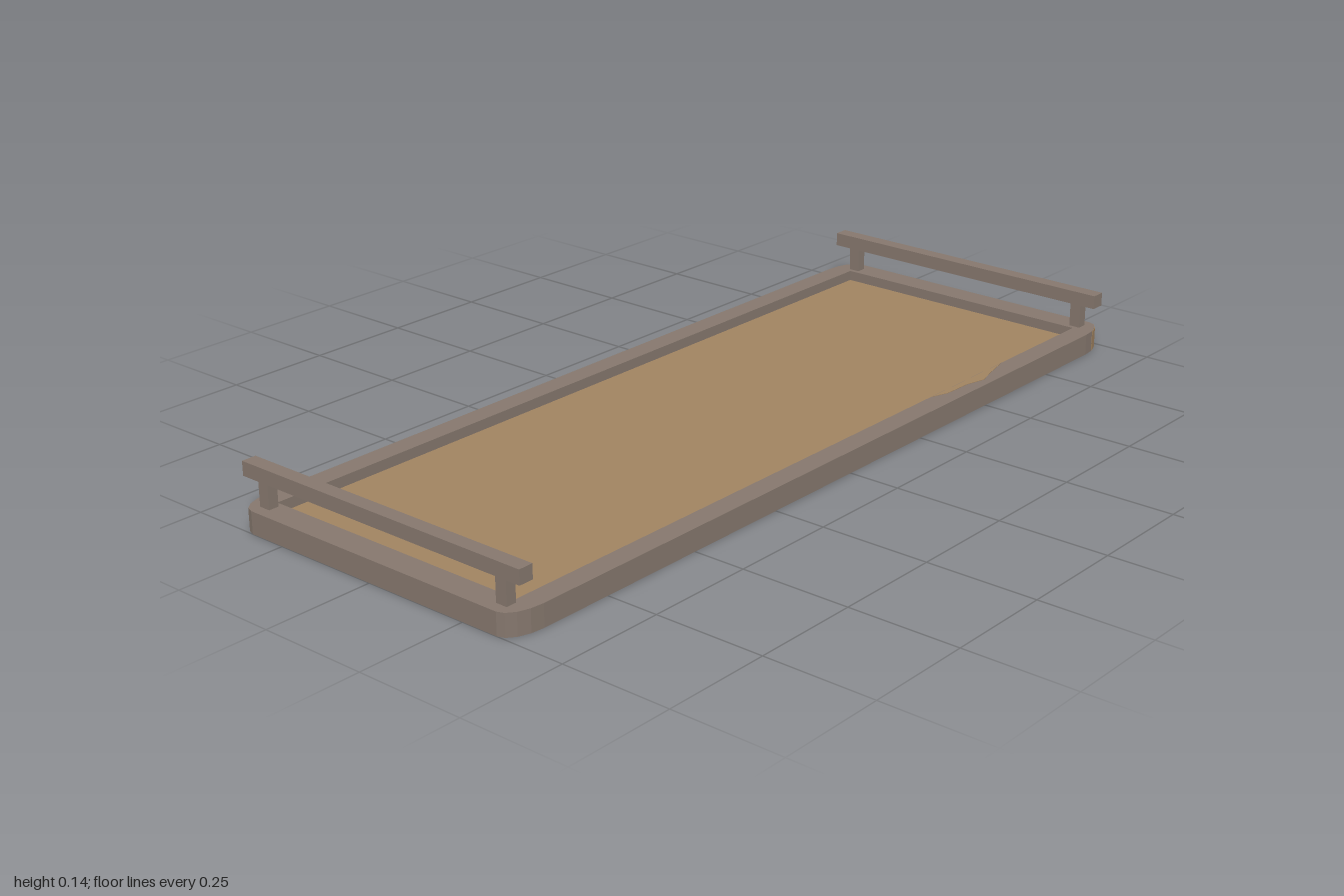
import * as THREE from 'three';

const frameMat = new THREE.MeshStandardMaterial({ color: 0x85776d });
frameMat.name = 'weathered grey';
const woodMat = new THREE.MeshStandardMaterial({ color: 0xa08360 });
woodMat.name = 'tan wood';

const HX = 1, HZ = 0.38, RX = 0.08, RZ = 0.042, H = 0.05;

// Points round one corner, from the end wall to the long wall
function cornerPoints(sx, sz, grow = 0) {
  const pts = [];
  for (let i = 0; i <= 4; i++) {
    const a = (i / 4) * Math.PI / 2;
    pts.push(new THREE.Vector2(
      sx * (HX - RX + (RX + grow) * Math.cos(a)),
      sz * (HZ - RZ + (RZ + grow) * Math.sin(a))));
  }
  return pts;
}

// Extrudes a plan outline (x, -z) upwards from y
function slab(name, shape, y, height, mat) {
  const g = new THREE.ExtrudeGeometry(shape, { depth: height, bevelEnabled: false });
  g.rotateX(-Math.PI / 2);
  const m = new THREE.Mesh(g, mat);
  m.position.y = y;
  m.name = name;
  return m;
}

function box(name, w, h, d, x, y, z, mat) {
  const m = new THREE.Mesh(new THREE.BoxGeometry(w, h, d), mat);
  m.position.set(x, y, z);
  m.name = name;
  return m;
}

export function createModel() {
  const tray = new THREE.Group();
  tray.name = 'servingTray';

  // Rim with rounded corners and a rectangular opening
  const rim = new THREE.Shape([
    ...cornerPoints(1, 1), ...cornerPoints(-1, 1).reverse(),
    ...cornerPoints(-1, -1), ...cornerPoints(1, -1).reverse(),
  ]);
  const ix = 0.94, iz = 0.33;
  rim.holes.push(new THREE.Path([
    new THREE.Vector2(-ix, -iz), new THREE.Vector2(-ix, iz),
    new THREE.Vector2(ix, iz), new THREE.Vector2(ix, -iz),
  ]));
  tray.add(slab('rim', rim, 0, H, frameMat));

  // Base panel set between the rim walls
  tray.add(box('basePanel', ix * 2, 0.008, iz * 2, 0, 0.022, 0, woodMat));

  // Worn patch round the front left corner
  const wear = (grow) => [new THREE.Vector2(HX + grow, -0.23), ...cornerPoints(1, -1, grow).slice(0, 4)];
  const wornCorner = new THREE.Shape([...wear(0.001), ...wear(-0.003).reverse()]);
  tray.add(slab('wornCorner', wornCorner, 0.001, H - 0.002, woodMat));

  // Small worn patch on top of the front rim
  const wornTop = new THREE.Shape([[0.36, -0.332], [0.4, -0.346], [0.47, -0.348],
    [0.52, -0.36], [0.57, -0.346], [0.63, -0.332]].map(([x, y]) => new THREE.Vector2(x, y)));
  tray.add(slab('wornTop', wornTop, H - 0.002, 0.003, woodMat));

  // A rail on two posts at each end
  for (const side of [-1, 1]) {
    const handle = new THREE.Group();
    handle.name = side > 0 ? 'leftHandle' : 'rightHandle';
    const x = side * 0.963;
    handle.add(box('rail', 0.034, 0.032, 0.76, x, 0.123, 0, frameMat));
    for (const end of [-1, 1]) {
      handle.add(box('post', 0.024, 0.06, 0.027, x, 0.078, end * 0.327, frameMat));
    }
    tray.add(handle);
  }
  return tray;
}
